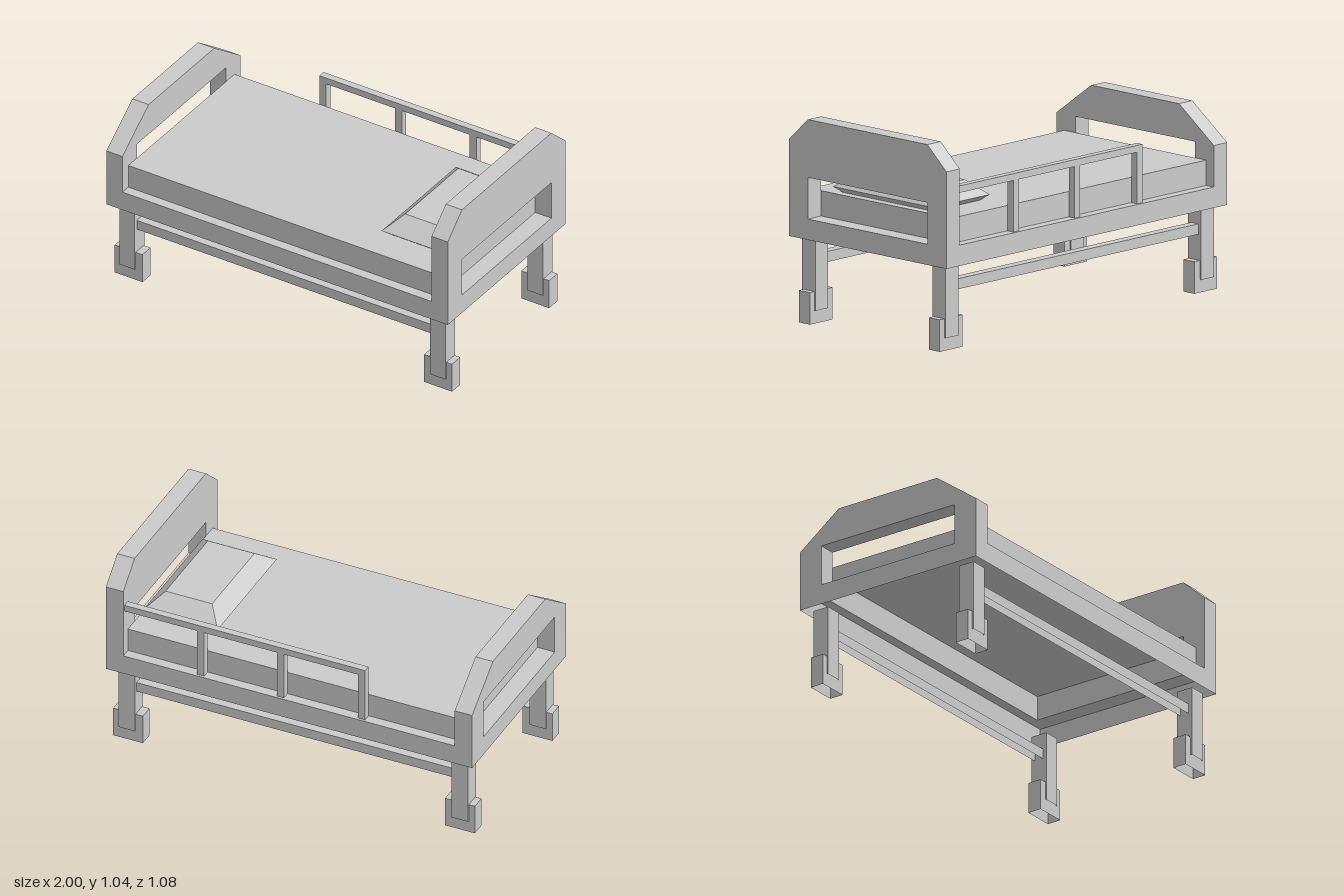
import * as THREE from 'three';

const material = new THREE.MeshStandardMaterial({
  color: 0xcccccc, flatShading: true, side: THREE.DoubleSide,
});

// Half sizes of the bed and of the mattress
const HALF_X = 1, HALF_Z = 0.538, BED_X = 0.905, BED_Z = 0.485;
const FRAME_Y = 0.43, DECK_Y = 0.535;

// Face numbers of a box
const TOP = 2, BOTTOM = 3;

export function createModel() {
  const bed = new THREE.Group();
  bed.name = 'bed';

  const add = (name, geometry) => {
    const mesh = new THREE.Mesh(geometry, material);
    mesh.name = name;
    bed.add(mesh);
    return mesh;
  };

  // Box given by its extents on each axis, with the listed faces left open
  const box = (name, [x0, x1], [y0, y1], [z0, z1], open = []) => {
    const geometry = new THREE.BoxGeometry(x1 - x0, y1 - y0, z1 - z0);
    const index = Array.from(geometry.index.array);
    geometry.setIndex(index.filter((_, i) => !open.includes(Math.floor(i / 6))));
    geometry.clearGroups();
    add(name, geometry).position.set((x0 + x1) / 2, (y0 + y1) / 2, (z0 + z1) / 2);
  };

  // Mirrors an extent to the chosen side
  const flip = (side, a, b) => (side > 0 ? [a, b] : [-b, -a]);
  const both = (a) => [-a, a];

  // Hollow bed frame: outer skirt and the ledge around the mattress
  box('frameSkirt', both(HALF_X), [FRAME_Y, DECK_Y], both(HALF_Z), [TOP, BOTTOM]);
  const ledge = rectangle(THREE.Shape, HALF_X, HALF_Z);
  ledge.holes.push(rectangle(THREE.Path, BED_X, BED_Z));
  add('frameLedge', new THREE.ShapeGeometry(ledge).rotateX(-Math.PI / 2)).position.y = DECK_Y;

  // Mattress shell, open underneath
  box('mattress', both(BED_X), [DECK_Y, 0.663], both(BED_Z), [BOTTOM]);

  // End boards: chamfered arches standing on the ledge, extruded along x
  const endBoard = (name, x, shoulder, top, topHalf) => {
    const shape = new THREE.Shape([
      [0.408, DECK_Y], [HALF_Z, DECK_Y], [HALF_Z, shoulder], [topHalf, top],
      [-topHalf, top], [-HALF_Z, shoulder], [-HALF_Z, DECK_Y], [-0.408, DECK_Y],
      [-0.408, 0.745], [0.408, 0.745],
    ].map(([z, y]) => new THREE.Vector2(z, y)));
    const geometry = new THREE.ExtrudeGeometry(shape, {
      depth: HALF_X - BED_X, bevelEnabled: false,
    });
    add(name, geometry.rotateY(Math.PI / 2)).position.x = x;
  };
  endBoard('headboard', BED_X, 0.92, 1.038, 0.408);
  endBoard('footboard', -HALF_X, 0.745, 0.92, 0.3);

  // Lower stretchers, legs and feet, all hollow from below
  for (const sz of [1, -1]) {
    box('stretcher', both(0.865), [0.292, 0.345], flip(sz, 0.42, 0.47), [BOTTOM]);
    for (const sx of [1, -1]) {
      box('leg', flip(sx, 0.865, 0.955), [0.065, FRAME_Y], flip(sz, 0.4, 0.49), [BOTTOM]);
      box('foot', flip(sx, 0.825, 0.988), [0, 0.162], flip(sz, 0.406, 0.481), [BOTTOM]);
    }
  }

  // Guard rail along the back
  box('guardRail', [-0.41, BED_X], [0.795, 0.83], [-0.525, -0.487]);
  for (const x of [-0.41, 0.033, 0.47]) {
    box('guardPost', [x, x + 0.04], [DECK_Y, 0.795], [-0.525, -0.487]);
  }

  // Pillow: stacked rectangles of half-length, height and half-width
  add('pillow', pillowGeometry([
    [0.17, 0.663, 0.305],
    [0.203, 0.692, 0.34],
    [0.127, 0.765, 0.242],
  ])).position.x = 0.688;

  return bed;
}

// Centred rectangle as a shape or a hole
function rectangle(Kind, hx, hy) {
  return new Kind([[-hx, -hy], [hx, -hy], [hx, hy], [-hx, hy]]
    .map(([x, y]) => new THREE.Vector2(x, y)));
}

// Lofts rectangular sections from bottom to top and caps both ends
function pillowGeometry(sections) {
  const positions = [];
  const indices = [];
  for (const [hx, y, hz] of sections) {
    positions.push(-hx, y, hz, hx, y, hz, hx, y, -hz, -hx, y, -hz);
  }
  for (let s = 0; s < sections.length - 1; s++) {
    for (let i = 0; i < 4; i++) {
      const a = s * 4 + i;
      const b = s * 4 + (i + 1) % 4;
      indices.push(a, b, b + 4, a, b + 4, a + 4);
    }
  }
  const t = (sections.length - 1) * 4;
  indices.push(0, 2, 1, 0, 3, 2, t, t + 1, t + 2, t, t + 2, t + 3);
  const indexed = new THREE.BufferGeometry();
  indexed.setAttribute('position', new THREE.Float32BufferAttribute(positions, 3));
  indexed.setIndex(indices);
  const geometry = indexed.toNonIndexed();
  geometry.computeVertexNormals();
  return geometry;
}
